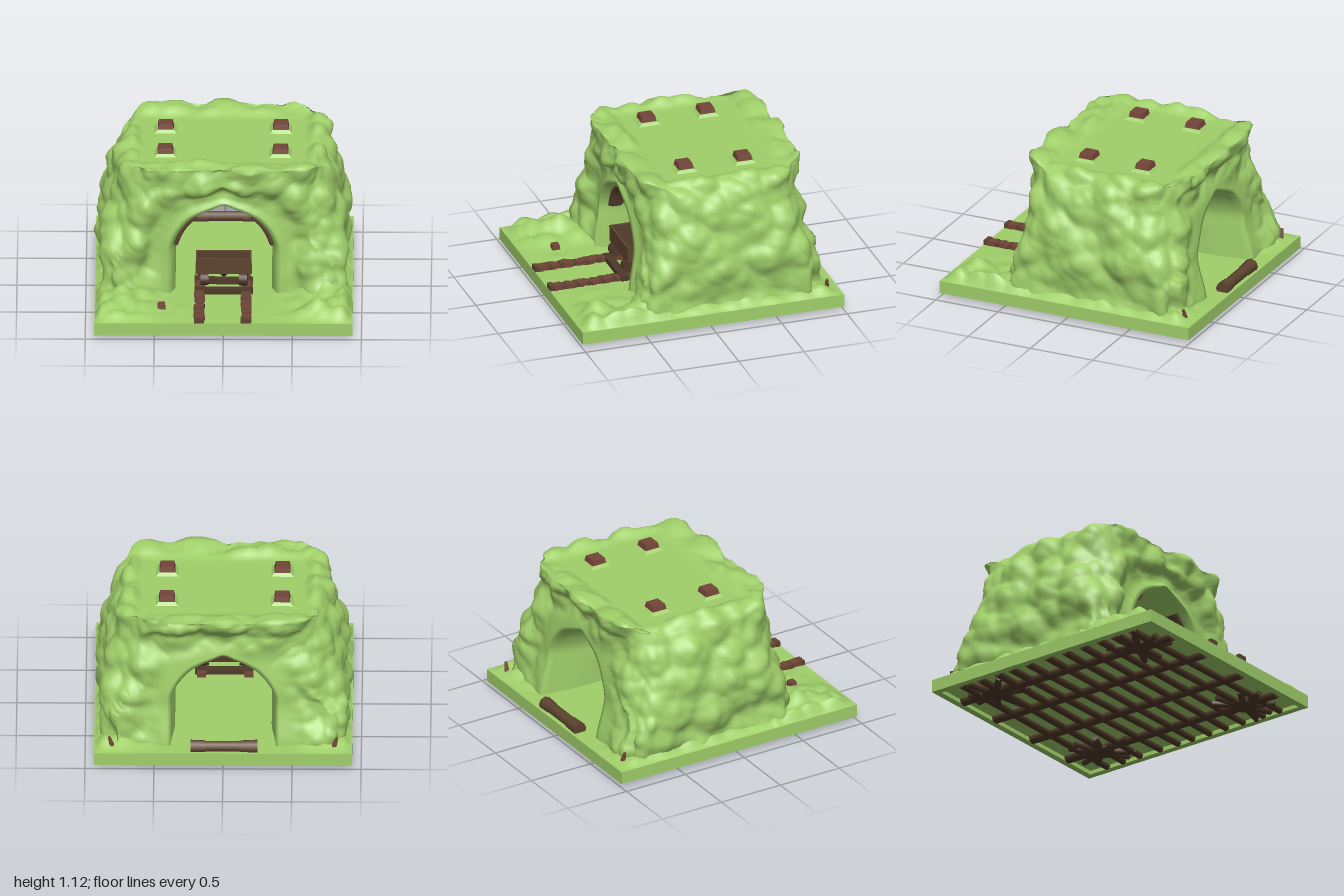
import * as THREE from 'three';

const V2 = (a) => new THREE.Vector2(a[0], a[1]);
const lerp = THREE.MathUtils.lerp, smooth = THREE.MathUtils.smoothstep;
const material = (name, color) => Object.assign(new THREE.MeshStandardMaterial({ color }), { name });

// Seeded cell noise: distance to the nearest scattered point, gives boulder shapes
const hash = (x, y, z, k) => {
  const s = Math.sin(x * 127.1 + y * 311.7 + z * 74.7 + k * 53.3) * 43758.5453;
  return s - Math.floor(s);
};
function cells(x, y, z) {
  const cx = Math.floor(x), cy = Math.floor(y), cz = Math.floor(z);
  let best = 9;
  for (let i = cx - 1; i <= cx + 1; i++)
    for (let j = cy - 1; j <= cy + 1; j++)
      for (let k = cz - 1; k <= cz + 1; k++)
        best = Math.min(best, Math.hypot(i + hash(i, j, k, 1) - x, j + hash(i, j, k, 2) - y, k + hash(i, j, k, 3) - z));
  return best;
}

// Half profiles from the +x foot to the crown, mirrored to the other foot
const mirrored = (half) => new THREE.SplineCurve(
  [...half, ...half.slice(0, -1).reverse().map(([x, y]) => [-x, y])].map(V2));
const outer = mirrored([[.87, .1], [.89, .3], [.895, .48], [.865, .66], [.825, .83], [.775, .99], [.69, 1.085], [.52, 1.1], [.27, 1.1], [0, 1.1]]);
const inner = mirrored([[.35, .1], [.35, .22], [.35, .34], [.35, .45], [.325, .53], [.28, .605], [.22, .67], [.15, .715], [.075, .75], [0, .78]]);

// Rounds the plan corners of the hill, more strongly above the low buttresses
function roundCorner(x, y, z) {
  const r = .1 + .23 * smooth(y, .35, .65);
  const cx = lerp(.9, .76, smooth(y, .5, 1.08)) - r, cz = .63 - r, mid = -.17;
  const a = Math.abs(x) - cx, b = Math.abs(z - mid) - cz, d = Math.hypot(a, b);
  if (a <= 0 || b <= 0 || d <= r) return [x, z];
  return [Math.sign(x) * (cx + a * r / d), mid + Math.sign(z - mid) * (cz + b * r / d)];
}

// Rock hill: outer skin, back face, tunnel and front face as one closed loop of sections
function rockGeometry() {
  const NU = 144, loop = [];
  const run = (n, f) => { for (let i = 0; i < n; i++) loop.push(f(i / n)); };
  run(46, (t) => [1, 1 - t]);
  run(20, (t) => [1 - t, 0]);
  run(20, (t) => [0, t]);
  run(20, (t) => [t, 1]);
  const NV = loop.length, pos = [], index = [];
  for (let i = 0; i <= NU; i++) {
    const o = outer.getPoint(i / NU), n = inner.getPoint(i / NU);
    for (const [k, s] of loop) {
      // tunnel mouth flares at both ends
      const flare = 1 + .11 * smooth(s, .9, 1) + .09 * (1 - smooth(s, 0, .25));
      const x = lerp(n.x * flare, o.x, k);
      const y = lerp(.1 + (n.y - .1) * (1 + (flare - 1) * .4), o.y, k);
      const front = .395 + .055 * smooth(k, .28, .5) + .03 * smooth(Math.abs(x), .5, .75) * (1 - smooth(y, .8, 1.05))
        + .04 * (1 - smooth(y, .1, .5)) + .03 * (1 - smooth(k, 0, .15));
      const back = -.76 - .05 * (1 - smooth(y, .5, .95)) - .07 * (1 - smooth(y, .1, .45)) - .06 * smooth(y, .95, 1.06)
        - .02 * smooth(Math.abs(x), .5, .8);
      const z = lerp(back, front, s), c = k > .3 ? roundCorner(x, y, z) : [x, z];
      pos.push(c[0], y, c[1]);
    }
  }
  for (let i = 0; i < NU; i++)
    for (let j = 0; j < NV; j++) {
      const a = i * NV + j, b = i * NV + (j + 1) % NV;
      index.push(a, b, a + NV, b, b + NV, a + NV);
    }
  const g = new THREE.BufferGeometry();
  g.setAttribute('position', new THREE.Float32BufferAttribute(pos, 3));
  g.setIndex(index);
  g.computeVertexNormals();
  // boulders on the skin, a sunken flat roof inside the rim
  const p = g.attributes.position, nor = g.attributes.normal;
  for (let i = 0; i < p.count; i++) {
    const k = loop[i % NV][0];
    let x = p.getX(i), y = p.getY(i), z = p.getZ(i);
    const d = smooth(k, .05, .45) * (.095 * (.52 - cells(x * 4.3, y * 4.3, z * 4.3)) + .03 * (.5 - cells(x * 9, y * 9, z * 9)));
    const roof = k === 1 && y > 1 ? smooth(Math.min(.67 - Math.abs(x), z + .7, .31 - z), 0, .09) : 0;
    x += nor.getX(i) * d; y += nor.getY(i) * d; z += nor.getZ(i) * d;
    p.setXYZ(i, x, Math.min(1.12, lerp(y, 1.06, roof)), z);
  }
  g.computeVertexNormals();
  return g;
}

// Ground with rubble heaped beside the track and around the walls
function groundGeometry() {
  const g = new THREE.PlaneGeometry(1.86, 1.99, 76, 80).rotateX(-Math.PI / 2);
  const p = g.attributes.position;
  for (let i = 0; i < p.count; i++) {
    const x = p.getX(i), z = p.getZ(i), ax = Math.abs(x);
    const edge = smooth(.93 - ax, 0, .06) * smooth(1 - Math.abs(z), 0, .16);
    const heap = smooth(ax, .42, .75) * (z > .3 ? 1 : .5);
    const bump = 1 - cells(x * 6, 3.3, z * 6);
    p.setY(i, .124 + edge * (heap * (.02 + .13 * bump) + .02 * bump * smooth(ax, .2, .32) * smooth(z, .3, .5)));
  }
  g.computeVertexNormals();
  return g;
}

export function createModel() {
  const model = new THREE.Group();
  model.name = 'rockTunnel';
  const rock = material('mossGreen', 0xa1d06a);
  const red = material('redBrownWood', 0x744538);
  const wood = material('cartBrown', 0x5d4430);
  const dark = material('darkTimber', 0x4f3928);

  const add = (name, geometry, mat, x = 0, y = 0, z = 0, parent = model) => {
    const m = new THREE.Mesh(geometry, mat);
    m.name = name;
    m.position.set(x, y, z);
    parent.add(m);
    return m;
  };
  const box = (name, w, h, d, mat, x, y, z, parent) => add(name, new THREE.BoxGeometry(w, h, d), mat, x, y, z, parent);
  // Round timber between two points
  const beam = (name, a, b, r1, r2, mat, parent) => {
    const A = new THREE.Vector3(...a), B = new THREE.Vector3(...b), d = B.clone().sub(A);
    const m = add(name, new THREE.CylinderGeometry(r2, r1, d.length(), 8), mat, 0, 0, 0, parent);
    m.position.copy(A).add(B).multiplyScalar(.5);
    m.quaternion.setFromUnitVectors(new THREE.Vector3(0, 1, 0), d.normalize());
    return m;
  };
  // Square tapered stump with sharp edges
  const stump = (name, top, bottom, h, mat, x, y, z) => {
    const g = new THREE.CylinderGeometry(top, bottom, h, 4).rotateY(Math.PI / 4).toNonIndexed();
    g.computeVertexNormals();
    return add(name, g, mat, x, y, z);
  };

  // Base tray with a raised rim underneath
  box('baseSlab', 1.87, .065, 2, rock, 0, .0925, 0);
  for (const s of [-1, 1]) {
    box('baseRimSide', .05, .04, 2, rock, s * .91, .05, 0);
    box('baseRimEnd', 1.77, .04, .05, rock, 0, .05, s * .975);
  }
  add('ground', groundGeometry(), rock);
  add('rockHill', rockGeometry(), rock);

  // Roof posts on low mounds
  for (const x of [-.425, .41])
    for (const z of [-.4, .05]) {
      stump('roofPost', .07, .085, .05, red, x, 1.095, z);
      stump('postMound', .085, .12, .025, rock, x, 1.068, z);
    }

  // Curved braces under the vault
  for (const s of [-1, 1]) {
    const path = new THREE.CatmullRomCurve3([[.35, .47], [.318, .55], [.275, .62], [.2, .695]].map(([x, y]) => new THREE.Vector3(s * x, y, 0)));
    add('vaultBrace', new THREE.TubeGeometry(path, 12, .02, 6), wood, 0, 0, .31).scale.z = 3;
  }

  // Rails with worn, uneven edges and cross ties
  for (const x of [-.175, .165])
    for (let i = 0; i < 26; i++) {
      const w = .052 + .026 * hash(i, x, 0, 5);
      box('rail', w, .035 + .02 * hash(i, x, 1, 5), .032, i % 3 === 1 ? wood : red, x + .01 * (hash(i, x, 2, 5) - .5), .135, .182 + i * .032);
    }
  for (const z of [.24, .43]) box('trackTie', .42, .045, .06, dark, 0, .14, z);

  // Mine cart
  const cart = new THREE.Group();
  cart.name = 'mineCart';
  cart.position.set(0, 0, .33);
  model.add(cart);
  box('cartLoad', .37, .08, .13, dark, 0, .335, 0, cart);
  box('cartFrame', .41, .022, .16, wood, 0, .275, 0, cart);
  for (const s of [-1, 1]) {
    box('cartSide', .39, .1, .015, wood, 0, .335, s * .073, cart);
    box('cartRim', .4, .014, .018, wood, 0, .379, s * .074, cart);
    box('cartEnd', .015, .102, .16, wood, s * .193, .335, 0, cart);
    for (const z of [-.055, .055])
      add('cartWheel', new THREE.CylinderGeometry(.048, .048, .06, 16).rotateZ(Math.PI / 2), dark, s * .14, .218, z, cart);
    box('cartBracket', .05, .03, .15, dark, s * .16, .262, 0, cart);
  }
  add('cartKeel', new THREE.CylinderGeometry(.07, .006, .055, 4), dark, 0, .24, 0, cart);

  // Log lying at the back, and small wood scraps
  beam('backLog', [-.2, .15, -.935], [.2, .15, -.935], .042, .042, wood);
  beam('backLogEnd', [-.25, .148, -.935], [-.12, .148, -.935], .054, .048, wood);
  beam('backLogEnd', [.13, .148, -.935], [.235, .148, -.935], .048, .052, wood);
  stump('woodScrap', .035, .042, .04, red, -.45, .155, .74);
  for (const s of [-1, 1])
    beam('woodSplinter', [s * .8, .13, -.91], [s * .825, .21, -.905], .02, .01, red);

  // Timber lattice under the base
  for (let i = 0; i < 11; i++) {
    const z = -.78 + i * .156, skew = .05 * (hash(i, 1, 2, 6) - .5);
    beam('crossTimber', [-.88, .046, z - skew], [.88, .046, z + skew], .03, .025, dark);
  }
  for (const x of [-.62, -.24, .2, .62])
    beam('longTimber', [x - .02, .045, -.94], [x + .02, .045, .94], .04, .036, dark).scale.z = .8;

  // Root knots at the four corners
  for (const sx of [-1, 1])
    for (const sz of [-1, 1]) {
      const x = sx * .63, z = sz * .65;
      add('rootKnot', new THREE.SphereGeometry(.1, 12, 8), dark, x, .035, z).scale.y = .35;
      for (let i = 0; i < 8; i++) {
        const a = (i + .6 * hash(sx, sz, i, 4)) * Math.PI / 4, r = .2 + .08 * hash(sx, sz, i, 7);
        beam('root', [x, .038, z], [x + Math.cos(a) * r, .045, z + Math.sin(a) * r], .034, .022, dark);
      }
    }
  return model;
}
